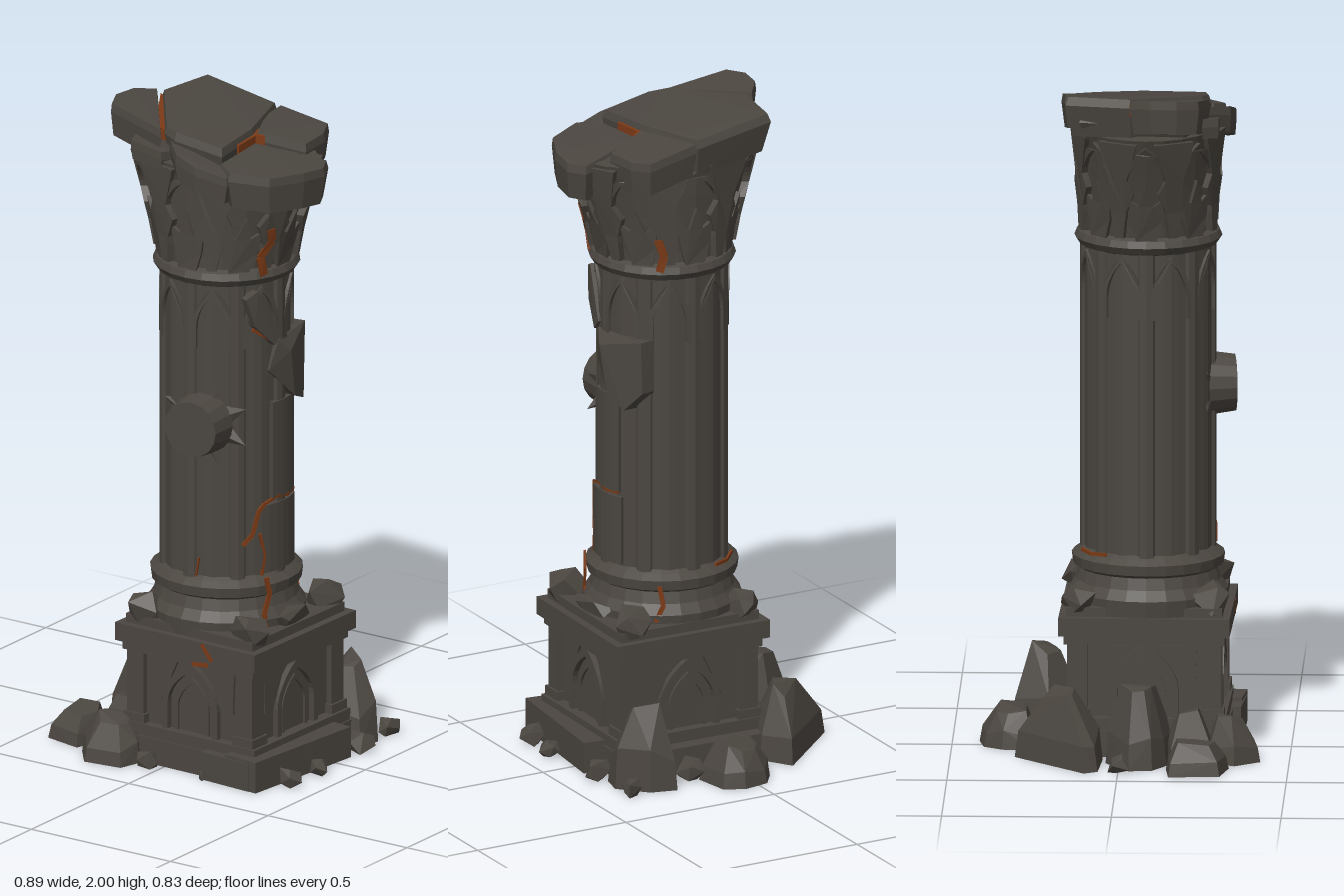
import * as THREE from 'three';
import { ConvexGeometry } from 'three/addons/geometries/ConvexGeometry.js';

const CX = 0.055, CZ = 0.077;   // column axis
const PX = 0.085, PZ = 0.075;   // pedestal centre

export function createModel() {
  const model = new THREE.Group();
  const stone = new THREE.MeshStandardMaterial({ color: 0x4b4640 });
  const ember = new THREE.MeshStandardMaterial({ color: 0x7c3a16 });
  stone.name = 'dark stone';
  ember.name = 'ember orange';

  let seed = 7;
  const rand = () => (seed = (seed * 16807) % 2147483647) / 2147483647;
  const add = (name, geo, mat = stone, parent = model) => {
    const g = geo.index ? geo.toNonIndexed() : geo;
    g.computeVertexNormals();
    const m = new THREE.Mesh(g, mat);
    m.name = name;
    parent.add(m);
    return m;
  };
  const box = (name, w, h, d, x, y, z, parent = model) => {
    const m = add(name, new THREE.BoxGeometry(w, h, d), stone, parent);
    m.position.set(x, y, z);
    return m;
  };
  const V = (x, y, z) => new THREE.Vector3(x, y, z);
  const shapeOf = pts => new THREE.Shape(pts.map(p => new THREE.Vector2(...p)));
  const plate = (shape, depth) => new THREE.ExtrudeGeometry(shape, { depth, bevelEnabled: false });

  // Bend a flat plate around the column: x is arc length, z is height off the surface
  const wrap = (geo, radius, angle) => {
    const p = geo.attributes.position;
    for (let i = 0; i < p.count; i++) {
      const a = angle + p.getX(i) / 0.2, y = p.getY(i), r = radius(y) + p.getZ(i);
      p.setXYZ(i, r * Math.sin(a), y, r * Math.cos(a));
    }
    return geo;
  };

  // Pointed arch outline, from bottom right over the tip to bottom left
  const archPoints = (w, y0, spring, top) => {
    const right = [];
    for (let i = 0; i < 4; i++) right.push([w, y0 + (spring - y0) * i / 4]);
    for (let i = 0; i < 6; i++) {
      const t = i / 6;
      right.push([w * Math.cos(t * Math.PI / 2) ** 0.8, spring + (top - spring) * t]);
    }
    return [...right, [0, top], ...right.slice().reverse().map(([x, y]) => [-x, y])];
  };
  const archFrame = (w, y0, spring, top, t, depth) => {
    const outer = archPoints(w, y0, spring, top);
    const inner = archPoints(w - t, y0, spring, top - t * 1.5).reverse();
    return plate(shapeOf([...outer, ...inner]), depth);
  };

  // ---------- Pedestal ----------
  const pedestal = new THREE.Group();
  pedestal.name = 'pedestal';
  pedestal.position.set(PX, 0, PZ);
  pedestal.rotation.y = -0.02;
  model.add(pedestal);
  box('baseSlab', 0.5, 0.08, 0.53, 0.0, 0.04, -0.02, pedestal);
  box('brokenBaseSide', 0.12, 0.095, 0.43, 0.235, 0.0475, 0.06, pedestal).rotation.y = -0.08;
  box('brokenBaseCorner', 0.18, 0.085, 0.16, 0.165, 0.0425, 0.195, pedestal).rotation.y = -0.05;
  box('baseStep', 0.49, 0.04, 0.48, 0, 0.095, 0, pedestal);
  box('pedestalBody', 0.42, 0.28, 0.42, 0, 0.22, 0, pedestal);
  box('corniceLower', 0.475, 0.03, 0.475, 0, 0.35, 0, pedestal);
  box('cornice', 0.51, 0.055, 0.505, 0, 0.39, 0, pedestal);
  box('corniceUpper', 0.46, 0.03, 0.46, 0, 0.43, 0, pedestal);
  for (let i = 0; i < 4; i++) {
    const side = new THREE.Group();
    side.name = 'pedestalSide';
    side.rotation.y = i * Math.PI / 2;
    pedestal.add(side);
    box('cornerPost', 0.06, 0.25, 0.06, 0.198, 0.225, 0.198, side);
    box('postFoot', 0.075, 0.035, 0.075, 0.198, 0.125, 0.198, side);
    const arch = add('pointedArch', archFrame(0.1, 0.11, 0.2, 0.335, 0.02, 0.02), stone, side);
    arch.position.z = 0.208;
    const inner = add('innerArch', archFrame(0.062, 0.11, 0.19, 0.285, 0.012, 0.01), stone, side);
    inner.position.z = 0.208;
    for (const s of [-1, 1]) {
      const spandrel = add('spandrel', plate(shapeOf([[0.05 * s, 0.33], [0.155 * s, 0.33], [0.15 * s, 0.2], [0.11 * s, 0.2]]), 0.012), stone, side);
      spandrel.position.z = 0.206;
    }
  }

  // ---------- Column ----------
  const column = new THREE.Group();
  column.name = 'column';
  column.position.set(CX, 0, CZ);
  model.add(column);
  const lathe = (name, pts, parent = column) => add(name,
    new THREE.LatheGeometry(pts.map(p => new THREE.Vector2(...p)), 24), stone, parent);
  lathe('columnFoot', [[0, 0.42], [0.23, 0.42], [0.235, 0.47], [0.215, 0.5], [0.205, 0.535],
    [0.222, 0.545], [0.226, 0.575], [0.205, 0.59], [0.19, 0.6]]);
  lathe('neckRing', [[0.18, 1.5], [0.205, 1.51], [0.218, 1.53], [0.21, 1.55], [0.19, 1.56]]);

  // Shaft with eight wide panels between ribs
  const N = 8, section = [];
  for (let i = 0; i < N; i++)
    for (const [d, r] of [[-0.1, 0.197], [0, 0.201], [0.1, 0.197], [0.13, 0.188], [0.28, 0.19], [0.39, 0.192], [0.5, 0.19], [0.65, 0.188]]) {
      const a = i / N * Math.PI * 2 + d;
      section.push([r * Math.cos(a), r * Math.sin(a)]);
    }
  add('panelledShaft', plate(shapeOf(section), 0.95).rotateX(-Math.PI / 2).translate(0, 0.57, 0), stone, column);
  for (let i = 0; i < N; i++)
    add('shaftArch', wrap(archFrame(0.064, 1.31, 1.37, 1.5, 0.014, 0.012), () => 0.187, (i + 0.5) / N * Math.PI * 2), stone, column);

  // Smooth drum pieces on the broken right side
  for (const [a, y, w, h] of [[1.57, 0.71, 0.17, 0.21], [1.65, 0.98, 0.12, 0.3]])
    add('drumPiece', wrap(new THREE.BoxGeometry(w, h, 0.02, 6, 1, 1).translate(0, y, 0), () => 0.194, a), stone, column);

  // Flared capital with arches and leaves, flattened front to back towards its top
  const flare = y => 0.192 + 0.1 * Math.max(0, (y - 1.54) / 0.33) ** 1.3;
  const squash = geo => {
    const p = geo.attributes.position;
    for (let i = 0; i < p.count; i++)
      p.setZ(i, p.getZ(i) * (1 - 0.26 * Math.min(1, Math.max(0, (p.getY(i) - 1.54) / 0.3))));
    return geo;
  };
  const capital = new THREE.Group();
  capital.name = 'capital';
  column.add(capital);
  const bell = [];
  for (let i = 0; i <= 6; i++) bell.push(new THREE.Vector2(flare(1.54 + i * 0.055), 1.54 + i * 0.055));
  add('capitalBell', squash(new THREE.LatheGeometry([...bell, new THREE.Vector2(0, 1.88)], 24)), stone, capital);
  for (let i = 0; i < 8; i++) {
    const a = i * Math.PI / 4;
    const part = (name, geo, angle) => add(name, squash(wrap(geo, flare, angle)), stone, capital);
    part('capitalArch', archFrame(0.072, 1.62, 1.72, 1.85, 0.016, 0.02), a);
    part('lowLeaf', plate(shapeOf([[-0.03, 1.55], [0.03, 1.55], [0.045, 1.61], [0.05, 1.68], [0.02, 1.66], [0, 1.73],
      [-0.02, 1.66], [-0.05, 1.68], [-0.045, 1.61]]), 0.014), a);
    part('tallLeaf', plate(shapeOf([[-0.014, 1.56], [0.014, 1.56], [0.022, 1.64], [0.045, 1.7], [0.025, 1.74],
      [0.055, 1.86], [-0.055, 1.86], [-0.025, 1.74], [-0.045, 1.7], [-0.022, 1.64]]), 0.024), a + Math.PI / 8);
  }

  // Sun emblem on the shaft
  const emblem = new THREE.Group();
  emblem.name = 'sunEmblem';
  emblem.position.set(0.092, 1.075, CZ + 0.17);
  emblem.rotation.y = 0.12;
  model.add(emblem);
  add('sunDisc', new THREE.CylinderGeometry(0.085, 0.097, 0.085, 16).rotateX(Math.PI / 2), stone, emblem).position.z = 0.042;
  for (let i = 0; i < 8; i++) {
    const ray = add('sunRay', new THREE.ConeGeometry(0.028, 0.065, 4).scale(1, 1, 0.6).translate(0, 0.115, 0), stone, emblem);
    ray.rotation.z = (i + 0.5) * Math.PI / 4;
    ray.position.z = 0.01 - 0.02 * Math.abs(Math.sin(ray.rotation.z));
  }

  // ---------- Broken top slabs: outline in x, z, sloping top ----------
  const slab = (name, pts, top, slope, thick, shrink = 0.9) => {
    const mx = pts.reduce((s, p) => s + p[0], 0) / pts.length, mz = pts.reduce((s, p) => s + p[1], 0) / pts.length;
    const out = [];
    for (const [x, z] of pts) {
      const y = top + slope * x - rand() * 0.008;
      out.push(V(mx + (x - mx) * 0.96, y, mz + (z - mz) * 0.96), V(x, y - 0.025, z),
        V(mx + (x - mx) * shrink, y - thick, mz + (z - mz) * shrink));
    }
    return add(name, new ConvexGeometry(out));
  };
  slab('mainSlab', [[-0.18, -0.16], [0.067, -0.165], [0.08, -0.08], [0.14, 0.06], [0.16, 0.25], [0, 0.265], [-0.05, 0.245], [-0.21, 0.03]], 1.965, -0.14, 0.12);
  slab('leftSlab', [[-0.225, 0.03], [-0.27, 0.09], [-0.28, 0.17], [-0.25, 0.235], [-0.05, 0.262]], 1.957, -0.17, 0.1);
  slab('backSlab', [[0.075, -0.17], [0.24, -0.185], [0.27, -0.12], [0.28, -0.01], [0.142, 0.05], [0.083, -0.08]], 1.955, -0.17, 0.1);
  slab('rightSlab', [[0.145, 0.062], [0.36, -0.01], [0.39, 0.05], [0.38, 0.14], [0.33, 0.25], [0.22, 0.305], [0.163, 0.27]], 1.925, -0.13, 0.11);
  slab('frontSlab', [[-0.03, 0.25], [0.22, 0.26], [0.22, 0.31], [0.12, 0.335], [0.04, 0.32]], 1.93, -0.22, 0.08);
  slab('frontLeftChip', [[-0.16, 0.24], [-0.02, 0.25], [-0.03, 0.29], [-0.14, 0.29]], 1.9, -0.15, 0.06);
  slab('underSlab', [[-0.18, -0.12], [0.22, -0.13], [0.29, 0.05], [0.26, 0.24], [0, 0.26], [-0.2, 0.2]], 1.915, -0.14, 0.08);

  // Glowing seams between the slabs
  const seam = pts => add('topSeam', new ConvexGeometry(pts.flatMap(([x, z]) =>
    [V(x, 1.945 - 0.14 * x, z), V(x, 1.91 - 0.14 * x, z)])), ember);
  seam([[-0.215, 0.03], [-0.2, 0.03], [-0.04, 0.235], [-0.075, 0.235], [-0.13, 0.17]]);
  seam([[0.112, 0.02], [0.125, 0.01], [0.17, 0.045], [0.14, 0.062]]);
  seam([[0.14, 0.06], [0.148, 0.06], [0.158, 0.16], [0.15, 0.16]]);

  // ---------- Glowing cracks wrapped on the column ----------
  const crack = (pts, radius, width = 0.005) => {
    for (let i = 0; i < pts.length - 1; i++) {
      const [a, y] = pts[i], [b, v] = pts[i + 1];
      const dx = (b - a) * 0.2, dy = v - y, l = Math.hypot(dx, dy), nx = -dy / l * width, ny = dx / l * width;
      add('crack', squash(wrap(plate(shapeOf([[nx, y + ny], [-nx, y - ny], [dx - nx, v - ny], [dx + nx, v + ny]]), 0.007), radius, a)), ember, column);
    }
  };
  const onShaft = () => 0.198;
  crack([[0.85, 0.7], [1.0, 0.73], [1.1, 0.8], [1.2, 0.82]], onShaft, 0.006);
  crack([[1.2, 0.82], [1.45, 0.835], [1.7, 0.825], [1.95, 0.83]], onShaft, 0.004);
  crack([[1.12, 0.73], [1.2, 0.66], [1.15, 0.6]], onShaft, 0.004);
  crack([[1.15, 0.6], [1.2, 0.55], [1.12, 0.49], [1.15, 0.43]], () => 0.225, 0.006);
  crack([[2.6, 0.56], [2.65, 0.5], [2.55, 0.45]], () => 0.226, 0.006);
  crack([[0.15, 0.6], [0.2, 0.66]], onShaft, 0.002);
  crack([[3.5, 0.595], [3.8, 0.592], [4.1, 0.598]], () => 0.203, 0.005);
  crack([[1.0, 1.37], [1.15, 1.35], [1.3, 1.33]], onShaft);
  const onCapital = y => flare(y) + 0.02;
  crack([[1.15, 1.54], [1.05, 1.6], [1.18, 1.65], [1.12, 1.69]], onCapital, 0.011);
  crack([[2.6, 1.54], [2.68, 1.59], [2.62, 1.64]], onCapital, 0.011);
  for (const [x, y, z, r] of [[0.045, 0.342, 0.2345, 0.12], [0.08, 0.39, 0.25, -0.9]]) {
    const m = add('pedestalCrack', new THREE.BoxGeometry(0.06, 0.013, 0.008), ember, pedestal);
    m.position.set(x, y, z);
    m.rotation.z = r;
  }

  // ---------- Loose chunks on the column and cornice ----------
  const chunk = (name, x, y, z, sx, sy, sz, n = 12) => {
    const pts = [];
    for (let i = 0; i < n; i++) {
      const h = 1 - 2 * (i + 0.5) / n, a = i * 2.4 + rand() * 1.2, q = Math.sqrt(1 - h * h), k = 0.85 + rand() * 0.35;
      pts.push(V(x + sx * q * Math.cos(a) * k, Math.max(0, y + sy * h * k), z + sz * q * Math.sin(a) * k));
    }
    add(name, new ConvexGeometry(pts));
  };
  for (const [x, z] of [[0.27, 0.265], [0.27, -0.12], [-0.1, 0.265], [-0.1, -0.125]])
    chunk('corniceChunk', x, 0.46, z, 0.06, 0.06, 0.06);
  chunk('corniceChunk', 0.28, 0.46, 0.08, 0.04, 0.04, 0.08);
  const shard = pts => add('shaftShard', new ConvexGeometry(pts.flatMap(([z, y, x]) => [V(x, y, z), V(0.17, y, z * 0.9)])));
  shard([[0.13, 1.23, 0.245], [0.1, 1.32, 0.258], [-0.09, 1.32, 0.22], [-0.09, 1.16, 0.215], [-0.04, 1.1, 0.25], [0.03, 1.13, 0.268], [0.06, 1.28, 0.276]]);
  shard([[0.22, 1.47, 0.225], [0.18, 1.49, 0.24], [0.09, 1.34, 0.263], [0.12, 1.31, 0.26], [0.19, 1.38, 0.24]]);

  // ---------- Fallen rocks: ground outline in x, z, height and leaning peak ----------
  const rock = (pts, h, px, pz, spread = 0.45) => {
    const out = [];
    for (const [x, z] of pts) {
      out.push(V(x, 0, z), V(x + (px - x) * 0.08, h * (0.28 + rand() * 0.2), z + (pz - z) * 0.08),
        V(px + (x - px) * spread, h * (0.8 + rand() * 0.2), pz + (z - pz) * spread));
    }
    add('fallenRock', new ConvexGeometry(out));
  };
  rock([[-0.395, -0.1], [-0.17, -0.31], [-0.11, -0.22], [-0.14, -0.12], [-0.2, -0.05], [-0.37, -0.06]], 0.22, -0.2, -0.18, 0.35);
  rock([[-0.36, 0.03], [-0.25, -0.04], [-0.13, 0], [-0.13, 0.16], [-0.28, 0.14], [-0.35, 0.1]], 0.25, -0.24, 0.05, 0.5);
  rock([[-0.44, 0.15], [-0.33, 0.14], [-0.28, 0.23], [-0.31, 0.325], [-0.43, 0.3]], 0.1, -0.34, 0.22, 0.6);
  rock([[-0.3, 0.15], [-0.15, 0.13], [-0.13, 0.27], [-0.27, 0.27]], 0.16, -0.2, 0.2);
  rock([[-0.28, 0.34], [-0.24, 0.26], [-0.12, 0.25], [-0.08, 0.33], [-0.1, 0.4], [-0.22, 0.415]], 0.14, -0.17, 0.32, 0.5);
  rock([[-0.08, -0.26], [-0.07, -0.35], [-0.03, -0.405], [0.05, -0.42], [0.11, -0.39], [0.13, -0.28], [0.1, -0.26]], 0.12, 0.02, -0.31, 0.6);
  rock([[0.19, -0.22], [0.23, -0.33], [0.31, -0.31], [0.385, -0.23], [0.37, -0.16], [0.28, -0.13]], 0.27, 0.28, -0.23, 0.42);
  for (const [x, z, r] of [[0.37, -0.3, 0.036], [0.145, -0.26, 0.044], [0.39, -0.125, 0.042], [0.41, 0.11, 0.033],
    [0.4, 0.24, 0.038], [-0.37, 0, 0.035], [-0.04, 0.355, 0.033], [0.16, 0.345, 0.02]])
    chunk('smallRock', x, r * 0.6, z, r, r, r, 10);
  return model;
}
